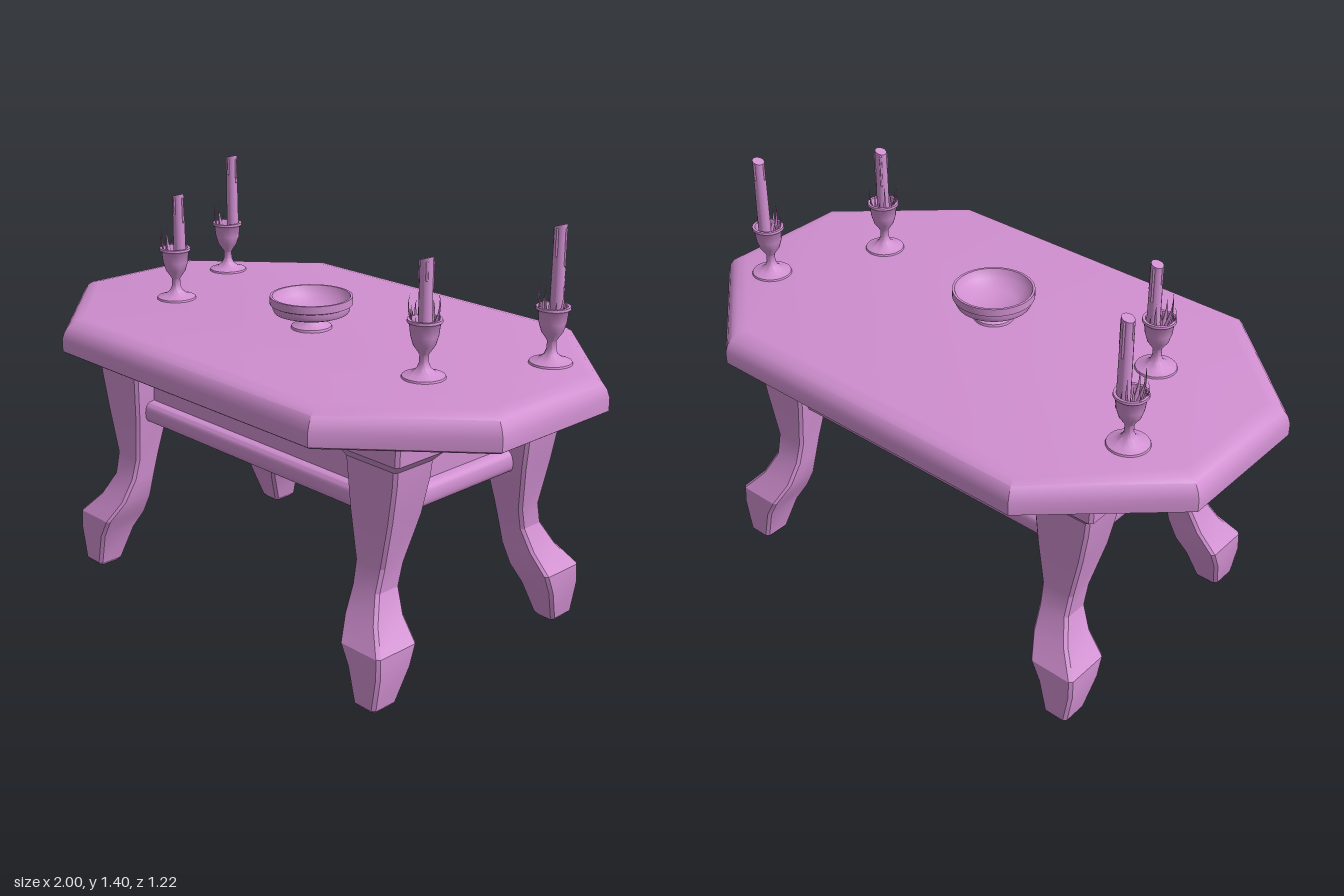
import * as THREE from 'three';
import { toCreasedNormals } from 'three/addons/utils/BufferGeometryUtils.js';

const material = new THREE.MeshStandardMaterial({ color: 0xd08fd0, side: THREE.DoubleSide });

function part(name, geometry, parent) {
  const mesh = new THREE.Mesh(geometry, material);
  mesh.name = name;
  parent.add(mesh);
  return mesh;
}

// Skin over horizontal rings of [x, y, z] points, listed bottom to top, with closed ends
function loft(rings, crease = 0.6) {
  const out = [];
  const n = rings[0].length;
  const tri = (...points) => points.forEach((p) => out.push(...p));
  for (let r = 0; r < rings.length - 1; r++) {
    const a = rings[r], b = rings[r + 1];
    for (let i = 0; i < n; i++) {
      const j = (i + 1) % n;
      tri(a[i], b[i], a[j]);
      tri(a[j], b[i], b[j]);
    }
  }
  const bottom = rings[0], top = rings[rings.length - 1];
  for (let i = 1; i < n - 1; i++) {
    tri(bottom[0], bottom[i], bottom[i + 1]);
    tri(top[0], top[i + 1], top[i]);
  }
  const geometry = new THREE.BufferGeometry();
  geometry.setAttribute('position', new THREE.Float32BufferAttribute(out, 3));
  return toCreasedNormals(geometry, crease);
}

// Octagonal outline, moved inward by d
function octagon(d, y) {
  const X = 1 - d, Z = 0.61 - d, cx = 0.6 - 0.388 * d, cz = 0.245 - 0.441 * d;
  return [[X, cz], [cx, Z], [-cx, Z], [-X, cz], [-X, -cz], [-cx, -Z], [cx, -Z], [X, -cz]]
    .map(([x, z]) => [x, y, z]);
}

// Rectangle with small cut corners
function legSection(x0, x1, z0, z1, y, c = 0.01) {
  return [[x1, z0 + c], [x1, z1 - c], [x1 - c, z1], [x0 + c, z1],
    [x0, z1 - c], [x0, z0 + c], [x0 + c, z0], [x1 - c, z0]].map(([x, z]) => [x, y, z]);
}

// Leg rows: y, inner x, outer x, inner z, outer z
const LEG = [
  [0, 0.66, 0.725, 0.39, 0.465],
  [0.015, 0.648, 0.738, 0.377, 0.478],
  [0.13, 0.622, 0.757, 0.335, 0.48],
  [0.195, 0.588, 0.755, 0.31, 0.478],
  [0.265, 0.557, 0.695, 0.303, 0.43],
  [0.345, 0.547, 0.66, 0.29, 0.388],
  [0.42, 0.542, 0.662, 0.272, 0.37],
  [0.58, 0.523, 0.697, 0.235, 0.377],
  [0.7, 0.515, 0.718, 0.222, 0.383],
  [0.755, 0.512, 0.724, 0.22, 0.386],
  [0.785, 0.508, 0.752, 0.202, 0.41],
  [0.86, 0.508, 0.755, 0.202, 0.41],
];

function legGeometry(sx, sz) {
  return loft(LEG.map(([y, xi, xo, zi, zo]) => {
    const xs = [xi * sx, xo * sx], zs = [zi * sz - 0.005, zo * sz - 0.005];
    return legSection(Math.min(...xs), Math.max(...xs), Math.min(...zs), Math.max(...zs), y);
  }), 0.3);
}

// Apron board with a lower and an upper rail, swept along its length
function apronGeometry(length) {
  const s = new THREE.Shape();
  s.moveTo(-0.03, 0.56);
  s.lineTo(0.025, 0.56);
  s.quadraticCurveTo(0.042, 0.565, 0.042, 0.595);
  s.quadraticCurveTo(0.042, 0.625, 0.025, 0.632);
  s.lineTo(0.005, 0.635);
  s.lineTo(0.005, 0.785);
  s.lineTo(0.03, 0.785);
  s.lineTo(0.03, 0.86);
  s.lineTo(-0.03, 0.86);
  s.closePath();
  const g = new THREE.ExtrudeGeometry(s, { depth: length, bevelEnabled: false, curveSegments: 5 });
  g.translate(0, 0, -length / 2);
  return toCreasedNormals(g, 0.6);
}

function lathe(points, segments = 28) {
  const g = new THREE.LatheGeometry(points.map(([r, y]) => new THREE.Vector2(r, y)), segments);
  return toCreasedNormals(g, 0.7);
}

// Thin pointed blade that first swells outward, then rises
function bladeGeometry(height, reach) {
  const g = new THREE.ConeGeometry(0.009, height, 5, 6);
  g.translate(0, height / 2, 0);
  const p = g.attributes.position;
  for (let i = 0; i < p.count; i++) {
    const t = p.getY(i) / height;
    p.setX(i, p.getX(i) * 0.6 + reach * Math.sin(t * 2.2));
  }
  g.computeVertexNormals();
  return g;
}

function candlestick({ x, z, top, dx, dz, turn }) {
  const group = new THREE.Group();
  group.name = 'candlestick';
  group.position.set(x, 0.968, z);
  part('holder', lathe([[0, 0], [0.068, 0], [0.066, 0.006], [0.04, 0.014], [0.022, 0.028],
    [0.015, 0.045], [0.014, 0.07], [0.02, 0.08], [0.034, 0.1], [0.043, 0.13], [0.047, 0.165],
    [0.054, 0.172], [0.053, 0.18], [0.044, 0.18], [0.036, 0.14], [0, 0.125]]), group);

  // Candle with a slanted, half-melted top
  const h = top - 0.968 - 0.125;
  const g = new THREE.CylinderGeometry(0.02, 0.022, h, 14, 8);
  const p = g.attributes.position;
  for (let i = 0; i < p.count; i++) {
    if (p.getY(i) > h / 2 - 0.001) p.setY(i, h / 2 - 0.006 + p.getX(i) * 0.3);
  }
  part('candle', toCreasedNormals(g, 0.7), group).position.set(dx, 0.125 + h / 2, dz);

  // Wax runs down the candle
  for (let i = 0; i < 4; i++) {
    const a = turn + i * 1.5, len = 0.05 + 0.03 * ((i * 2) % 3);
    const run = part('waxDrip', new THREE.CapsuleGeometry(0.004, len, 3, 6), group);
    run.position.set(dx + 0.02 * Math.cos(a), top - 0.985 - len / 2, dz + 0.02 * Math.sin(a));
  }

  // Fan of blades around one side of the cup
  for (let i = 0; i < 9; i++) {
    const blade = part('blade', bladeGeometry(0.075 + 0.025 * ((i * 2) % 3), 0.022 + 0.006 * (i % 2)), group);
    const a = turn + (i - 4) * 0.42;
    blade.position.set(0.022 * Math.cos(a), 0.13, -0.022 * Math.sin(a));
    blade.rotation.y = a;
  }
  return group;
}

export function createModel() {
  const model = new THREE.Group();
  model.name = 'table';

  // Octagonal top with a rounded upper edge
  part('tableTop', loft([[0.012, 0.855], [0, 0.863], [0, 0.905], [0.008, 0.93], [0.022, 0.95],
    [0.04, 0.962], [0.07, 0.968]].map(([d, y]) => octagon(d, y))), model);

  // Legs at the four corners
  for (const sx of [-1, 1]) {
    for (const sz of [-1, 1]) part('leg', legGeometry(sx, sz), model);
  }

  // Open frame of aprons between the legs
  for (const s of [-1, 1]) {
    const side = part('sideApron', apronGeometry(0.6), model);
    side.position.set(s * 0.61, 0, -0.005);
    side.rotation.y = s > 0 ? 0 : Math.PI;
    const long = part('longApron', apronGeometry(1.22), model);
    long.position.set(0, 0, s * 0.3 - 0.005);
    long.rotation.y = -s * Math.PI / 2;
  }

  // Footed bowl
  part('bowl', lathe([[0, 0], [0.068, 0], [0.066, 0.008], [0.045, 0.018], [0.036, 0.028],
    [0.05, 0.038], [0.1, 0.046], [0.122, 0.054], [0.127, 0.064], [0.127, 0.078], [0.136, 0.082],
    [0.136, 0.108], [0.128, 0.108], [0.115, 0.08], [0.075, 0.058], [0, 0.05]], 36), model)
    .position.set(0.018, 0.968, 0.05);

  // Tall candles at the back, short ones in front
  [
    { x: -0.735, z: -0.228, top: 1.4, dx: 0.02, dz: -0.01, turn: Math.PI },
    { x: 0.787, z: -0.228, top: 1.4, dx: 0, dz: -0.015, turn: -Math.PI / 2 },
    { x: -0.563, z: 0.152, top: 1.34, dx: 0.018, dz: -0.006, turn: Math.PI },
    { x: 0.613, z: 0.152, top: 1.34, dx: 0.01, dz: 0.01, turn: Math.PI * 0.8 },
  ].forEach((c) => model.add(candlestick(c)));

  return model;
}
